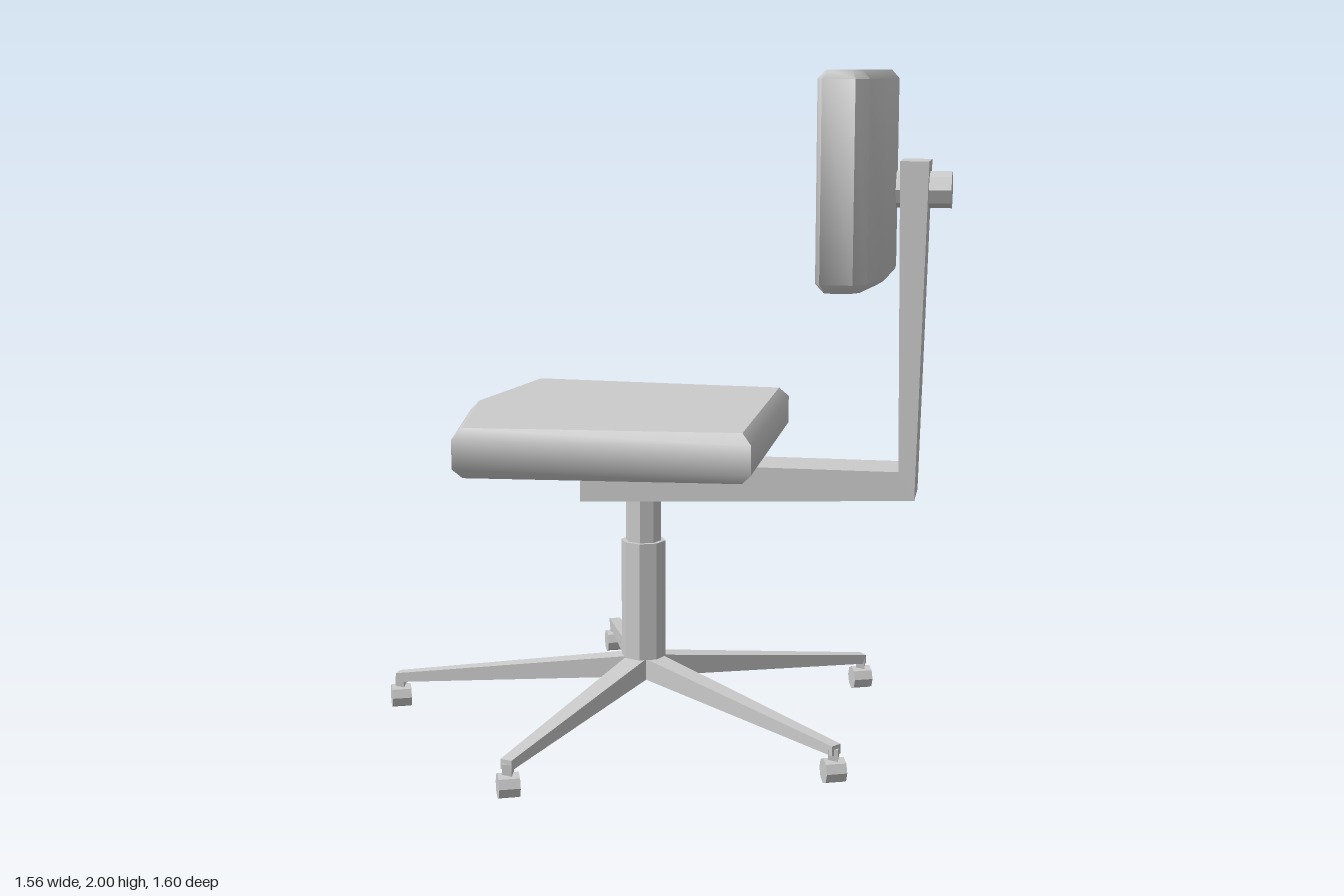
import * as THREE from 'three';
import { toCreasedNormals } from 'three/addons/utils/BufferGeometryUtils.js';

const grey = new THREE.MeshStandardMaterial({ color: 0xcccccc });

// Local frame: +x points to the chair's back, z runs across it
export function createModel() {
  const model = new THREE.Group();
  model.name = 'swivelChair';
  const chair = new THREE.Group();
  chair.name = 'chair';
  chair.position.set(-0.057, 0, 0.005);
  chair.rotation.y = THREE.MathUtils.degToRad(-28);
  model.add(chair);

  const add = (name, geometry, x = 0, y = 0, z = 0) => {
    const mesh = new THREE.Mesh(geometry, grey);
    mesh.name = name;
    mesh.position.set(x, y, z);
    chair.add(mesh);
    return mesh;
  };

  // Cushion: half outline (x, z) mirrored across z, extruded in y with chamfered rims
  const cushion = (half, bottom, top, rim, inset) => {
    const mirrored = half.filter(([, z]) => z > 0).reverse().map(([x, z]) => [x, -z]);
    const shape = new THREE.Shape([...half, ...mirrored].map(([x, z]) => new THREE.Vector2(x, z)));
    const geometry = new THREE.ExtrudeGeometry(shape, {
      depth: top - bottom - 2 * rim, bevelThickness: rim,
      bevelSize: inset, bevelOffset: -inset, bevelSegments: 1,
    });
    geometry.rotateX(Math.PI / 2).translate(0, top - rim, 0);
    return toCreasedNormals(geometry, Math.PI / 4);
  };

  // Seat with a slightly pointed front edge
  add('seat', cushion([[-0.531, 0], [-0.447, 0.508], [0.397, 0.447]], 0.855, 1.0, 0.03, 0.028), 0, 0, 0.045);

  // Curved backrest
  add('backrest', cushion([
    [0.65, 0], [0.643, 0.12], [0.624, 0.24], [0.57, 0.46], [0.585, 0.497],
    [0.675, 0.497], [0.71, 0.45], [0.742, 0.22], [0.752, 0.11], [0.755, 0],
  ], 1.4, 2.0, 0.025, 0.022), 0, 0, 0.04);

  // L-shaped support under the seat and up behind the backrest
  const profile = [[-0.18, 0.705], [0.828, 0.745], [0.852, 1.74], [0.768, 1.74], [0.78, 0.83], [-0.18, 0.83]];
  const support = new THREE.ExtrudeGeometry(
    new THREE.Shape(profile.map(([x, y]) => new THREE.Vector2(x, y))),
    { depth: 0.176, bevelEnabled: false });
  add('backSupport', support.translate(0, 0, -0.088));

  // Adjusting knob through the support into the backrest
  const drum = (radius, length, sides = 8) =>
    toCreasedNormals(new THREE.CylinderGeometry(radius, radius, length, sides), 0.5);
  add('knob', drum(0.054, 0.19).rotateZ(Math.PI / 2), 0.82, 1.655, 0);

  // Gas column
  add('upperColumn', drum(0.055, 0.28), 0, 0.7, 0);
  add('lowerColumn', drum(0.069, 0.365), 0, 0.3925, 0);

  // Five tapered legs with casters all turned the same way
  const reach = 0.785;
  for (let i = 0; i < 5; i++) {
    const angle = Math.PI / 5 + (i * Math.PI * 2) / 5;
    const leg = new THREE.BoxGeometry(1, 1, 1);
    const p = leg.attributes.position;
    for (let k = 0; k < p.count; k++) {
      const outer = p.getX(k) > 0;
      const upper = p.getY(k) > 0;
      const y = outer ? (upper ? 0.112 : 0.083) : (upper ? 0.218 : 0.15);
      p.setXYZ(k, outer ? reach + 0.01 : 0, y, p.getZ(k) * (outer ? 0.036 : 0.07));
    }
    leg.computeVertexNormals();
    add('leg', leg).rotation.y = -angle;

    const x = Math.cos(angle) * reach;
    const z = Math.sin(angle) * reach;
    add('casterStem', new THREE.BoxGeometry(0.028, 0.05, 0.028), x, 0.075, z);
    add('caster', drum(0.037, 0.06).rotateX(Math.PI / 8).rotateZ(Math.PI / 2), x, 0.036, z);
  }

  return model;
}
